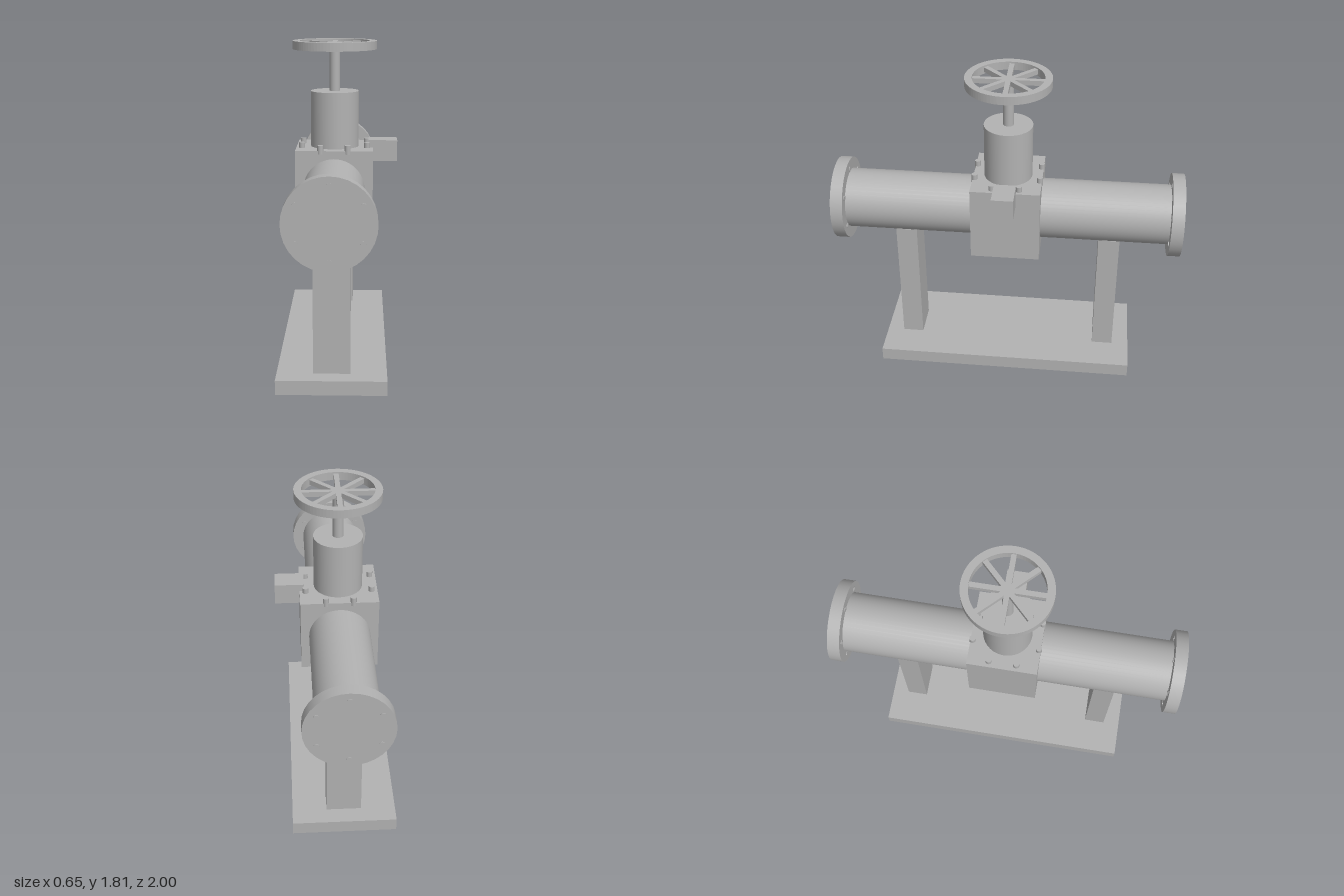
import * as THREE from 'three';

export function createModel() {
  const model = new THREE.Group();
  model.name = 'gateValve';
  const steel = new THREE.MeshStandardMaterial({ color: 0xb2b2b2 });
  steel.name = 'greySteel';

  // Everything but the side box is centred on the stem axis
  const valve = new THREE.Group();
  valve.name = 'valve';
  valve.position.x = -0.031;
  model.add(valve);

  const add = (name, geometry, x, y, z, parent = valve) => {
    const mesh = new THREE.Mesh(geometry, steel);
    mesh.name = name;
    mesh.position.set(x, y, z);
    parent.add(mesh);
    return mesh;
  };
  const box = (name, w, h, d, x, y, z) => add(name, new THREE.BoxGeometry(w, h, d), x, y, z);
  const post = (name, r, y0, y1, sides, x = 0, z = 0) =>
    add(name, new THREE.CylinderGeometry(r, r, y1 - y0, sides), x, (y0 + y1) / 2, z);
  const along = (name, r, z0, z1, sides, x, y) =>
    add(name, new THREE.CylinderGeometry(r, r, z1 - z0, sides).rotateX(Math.PI / 2), x, y, (z0 + z1) / 2);

  const axisY = 0.992;

  // Base plate and the two supports
  box('basePlate', 0.594, 0.08, 1.504, 0, 0.04, 0);
  for (const s of [-1, 1]) box('support', 0.2, 0.77, 0.122, 0, 0.465, s * 0.592);

  // Pipe, end flanges and flange bolts
  along('pipe', 0.172, -0.99, 0.99, 48, 0, axisY);
  for (const s of [-1, 1]) {
    const mid = s * 0.961;
    along('flange', 0.238, mid - 0.035, mid + 0.035, 32, 0, axisY);
    for (let i = 0; i < 6; i++) {
      const a = Math.PI / 6 + i * Math.PI / 3;
      along('flangeBolt', 0.015, mid - 0.039, mid + 0.039, 12,
        0.19 * Math.cos(a), axisY + 0.19 * Math.sin(a));
    }
  }

  // Valve body, bonnet and stem
  box('body', 0.436, 0.434, 0.392, 0, 0.992, 0);
  post('bonnet', 0.137, 1.2, 1.526, 40);
  post('stem', 0.03, 1.5, 1.79, 20);
  for (let i = 0; i < 8; i++) {
    const a = Math.PI / 8 + i * Math.PI / 4;
    post('bodyBolt', 0.017, 1.19, 1.24, 12, 0.2 * Math.cos(a), 0.2 * Math.sin(a));
  }

  // Handwheel: square-section rim with eight spokes
  const rim = new THREE.Shape().absarc(0, 0, 0.238, 0, Math.PI * 2);
  rim.holes.push(new THREE.Path().absarc(0, 0, 0.197, 0, Math.PI * 2, true));
  const rimGeometry = new THREE.ExtrudeGeometry(rim, { depth: 0.047, bevelEnabled: false, curveSegments: 40 });
  add('handwheelRim', rimGeometry.rotateX(-Math.PI / 2), 0, 1.761, 0);
  for (let i = 0; i < 4; i++) {
    box('handwheelSpoke', 0.41, 0.028, 0.028, 0, 1.785, 0).rotation.y = i * Math.PI / 4;
  }

  // Side box on the left of the body
  add('sideBox', new THREE.BoxGeometry(0.164, 0.12, 0.122), 0.244, 1.19, 0, model);

  return model;
}
